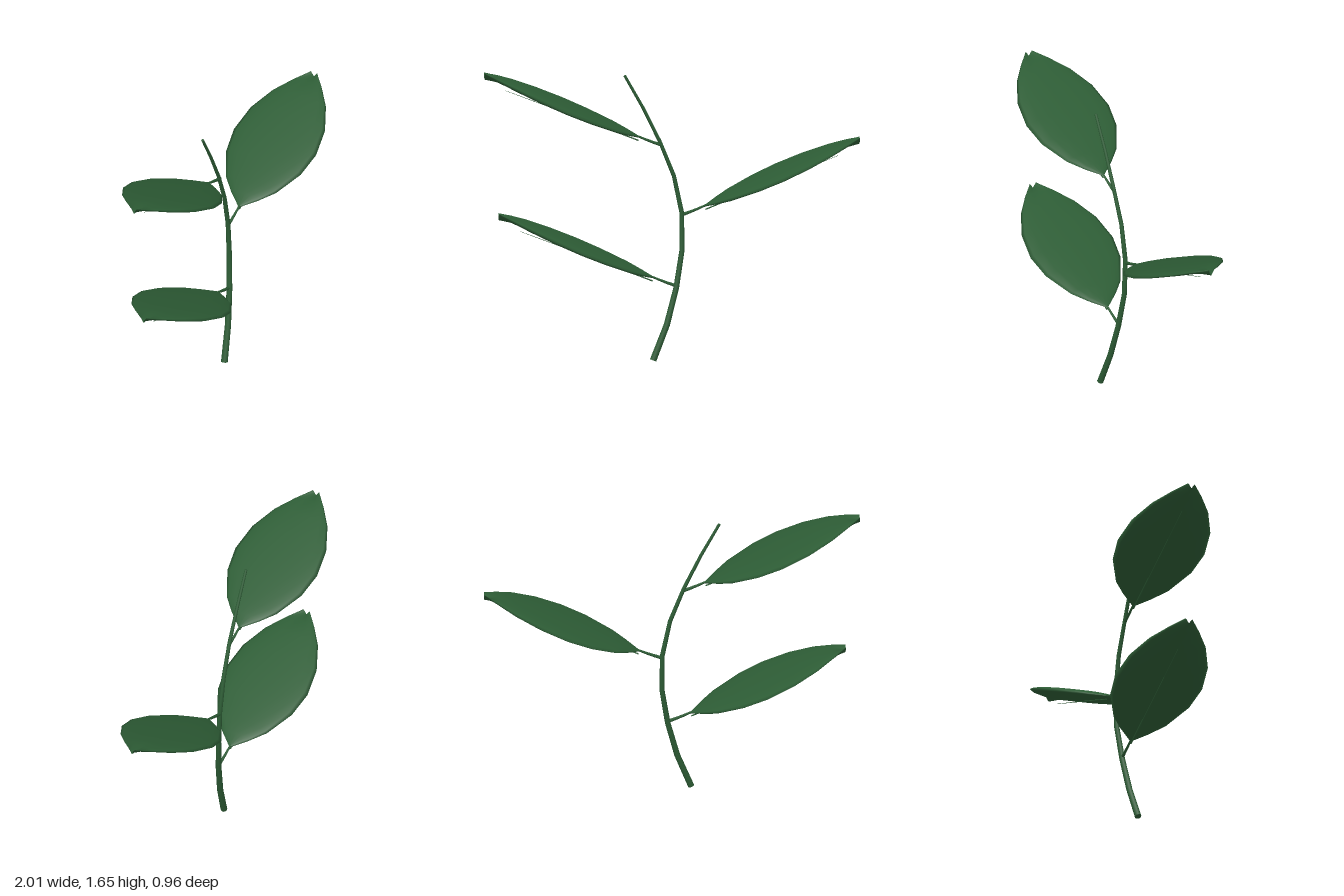
import * as THREE from 'three';

const green = new THREE.MeshStandardMaterial({ color: 0x2d5c35, side: THREE.DoubleSide });
green.name = 'leaf green';

// Tube that narrows from r0 to r1 along a path, with closed ends
function taperedTube(name, points, segments, r0, r1, sides = 8) {
  const curve = new THREE.CatmullRomCurve3(points.map(p => new THREE.Vector3(...p)));
  const geometry = new THREE.TubeGeometry(curve, segments, 1, sides, false);
  const pos = geometry.attributes.position;
  const v = new THREE.Vector3();
  for (let i = 0; i < pos.count; i++) {
    const t = Math.floor(i / (sides + 1)) / segments;
    const center = curve.getPointAt(t);
    v.fromBufferAttribute(pos, i).sub(center).multiplyScalar(r0 + (r1 - r0) * t).add(center);
    pos.setXYZ(i, v.x, v.y, v.z);
  }
  const group = new THREE.Group();
  group.name = name;
  group.add(new THREE.Mesh(geometry, green));
  [[0, r0, -1], [1, r1, 1]].forEach(([t, r, dir]) => {
    const cap = new THREE.Mesh(new THREE.CircleGeometry(r, sides), green);
    cap.position.copy(curve.getPointAt(t));
    cap.quaternion.setFromUnitVectors(new THREE.Vector3(0, 0, 1), curve.getTangentAt(t).multiplyScalar(dir));
    group.add(cap);
  });
  group.children.forEach(m => { m.name = name; });
  return group;
}

// Leaf blade rows: [distance along, half width, half thickness, dip of the middle]
const ROWS = [
  [0, 0.005, 0.005, 0], [0.07, 0.09, 0.016, 0], [0.14, 0.16, 0.023, 0], [0.285, 0.239, 0.028, 0],
  [0.42, 0.263, 0.03, 0], [0.57, 0.238, 0.028, 0], [0.705, 0.17, 0.023, 0], [0.80, 0.092, 0.016, 0.006],
  [0.875, 0.02, 0.004, 0.033],
];
const RISE = 0.38 / 0.88;

// Plump, round-edged blade lofted through flat oval rings, creased at the tip
function bladeGeometry() {
  const sides = 16, positions = [], index = [];
  ROWS.forEach(([u, half, thick, dip], row) => {
    for (let c = 0; c < sides; c++) {
      const a = (c / sides) * Math.PI * 2, s = Math.cos(a);
      positions.push(u, u * RISE + thick * Math.sin(a) - dip * (1 - Math.abs(s)), half * s);
      if (row) {
        const next = (c + 1) % sides, d = row * sides, b = d - sides;
        index.push(b + c, d + c, b + next, b + next, d + c, d + next);
      }
    }
  });
  const geometry = new THREE.BufferGeometry();
  geometry.setAttribute('position', new THREE.Float32BufferAttribute(positions, 3));
  geometry.setIndex(index);
  geometry.computeVertexNormals();
  return geometry;
}

export function createModel() {
  const model = new THREE.Group();
  model.name = 'leafyTwig';

  // Curved main stem
  model.add(taperedTube('stem', [
    [-0.085, 0.005, 0.105], [-0.015, 0.21, 0.058], [0.03, 0.42, 0.02], [0.054, 0.62, -0.008], [0.052, 0.82, -0.015],
    [0.016, 1.02, -0.002], [-0.055, 1.22, 0.03], [-0.15, 1.43, 0.066], [-0.25, 1.622, 0.105],
  ], 8, 0.019, 0.008));

  // Alternating leaves, each with its stalk and a fine rib underneath
  const blade = bladeGeometry();
  [
    { name: 'lowerLeaf', at: [0.03, 0.42, 0.02], turn: Math.PI },
    { name: 'middleLeaf', at: [0.05, 0.82, -0.015], turn: 0 },
    { name: 'upperLeaf', at: [-0.05, 1.22, 0.03], turn: Math.PI },
  ].forEach(({ name, at, turn }) => {
    const leaf = new THREE.Group();
    leaf.name = name;
    const mesh = new THREE.Mesh(blade, green);
    mesh.name = 'blade';
    mesh.position.set(0.13, 0.05, 0);
    leaf.add(mesh);
    leaf.add(taperedTube('stalk', [[0, 0, 0], [0.07, 0.025, 0], [0.14, 0.055, 0]], 3, 0.01, 0.006, 6));
    leaf.add(taperedTube('rib', [[0.135, 0.03, 0], [0.5, 0.175, 0], [0.885, 0.325, 0]], 4, 0.004, 0.001, 5));
    leaf.position.set(...at);
    leaf.rotation.y = turn + 0.336;
    model.add(leaf);
  });
  return model;
}
